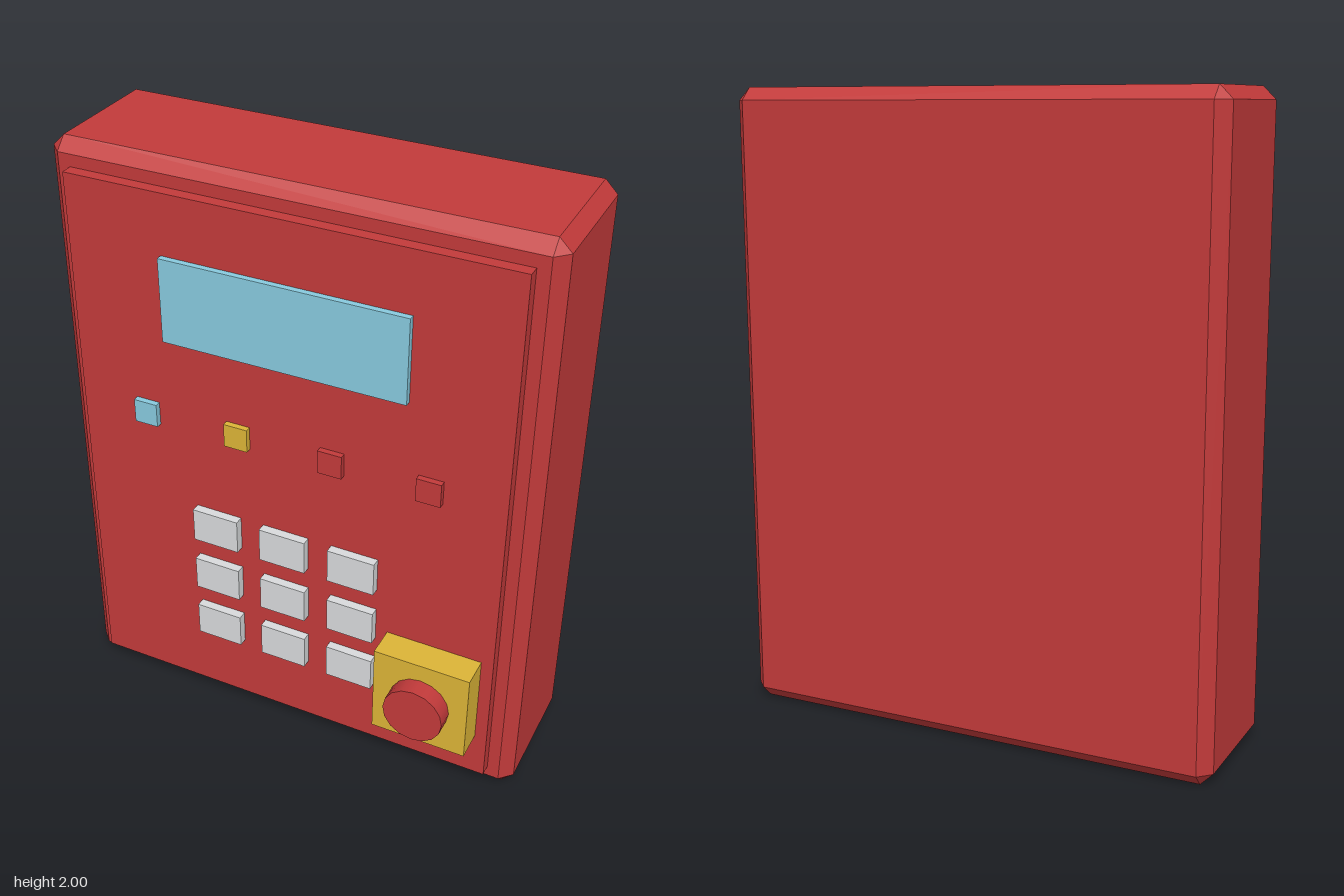
import * as THREE from 'three';
import { ConvexGeometry } from 'three/addons/geometries/ConvexGeometry.js';

const material = (name, color) => {
  const m = new THREE.MeshStandardMaterial({ color });
  m.name = name;
  return m;
};

// Box with every edge cut by a flat chamfer
function chamferedBox(w, h, d, c) {
  const points = [];
  for (const sx of [-1, 1]) for (const sy of [-1, 1]) for (const sz of [-1, 1]) {
    for (let axis = 0; axis < 3; axis++) {
      const cut = [0, 1, 2].map(i => (i === axis ? 0 : c));
      points.push(new THREE.Vector3(sx * (w / 2 - cut[0]), sy * (h / 2 - cut[1]), sz * (d / 2 - cut[2])));
    }
  }
  return new ConvexGeometry(points);
}

export function createModel() {
  const red = material('red', 0xc23a3a);
  const yellow = material('yellow', 0xdcb437);
  const blue = material('pale blue', 0x88cade);
  const grey = material('light grey', 0xd8dadc);

  const model = new THREE.Group();
  model.name = 'controlBox';

  const add = (name, geometry, mat, x, y, z) => {
    const mesh = new THREE.Mesh(geometry, mat);
    mesh.name = name;
    mesh.position.set(x, y, z);
    model.add(mesh);
    return mesh;
  };
  // Box centred on x, y and reaching from z0 to z1
  const block = (name, mat, x, y, w, h, z0, z1) =>
    add(name, new THREE.BoxGeometry(w, h, z1 - z0), mat, x, y, (z0 + z1) / 2);

  // Housing and raised front panel
  add('housing', chamferedBox(1.6, 2, 0.48, 0.04), red, 0, 1, -0.1);
  block('frontPanel', red, 0, 1, 1.44, 1.84, 0.14, 0.18);

  // Display
  block('screen', blue, 0, 1.58, 0.8, 0.28, 0.18, 0.2);

  // Row of indicator lights
  [blue, yellow, red, red].forEach((mat, i) =>
    block(`indicator${i + 1}`, mat, -0.48 + i * 0.32, 1.16, 0.08, 0.08, 0.18, 0.2));

  // Keypad
  for (let row = 0; row < 3; row++)
    for (let col = 0; col < 3; col++)
      block(`key${row * 3 + col + 1}`, grey, (col - 1) * 0.24, 0.78 - row * 0.2, 0.16, 0.12, 0.18, 0.21);

  // Emergency stop
  block('stopBase', yellow, 0.52, 0.4, 0.32, 0.32, 0.18, 0.28);
  const stop = add('stopButton', new THREE.CylinderGeometry(0.1, 0.1, 0.06, 16), red, 0.52, 0.4, 0.31);
  stop.rotation.x = Math.PI / 2;

  return model;
}
